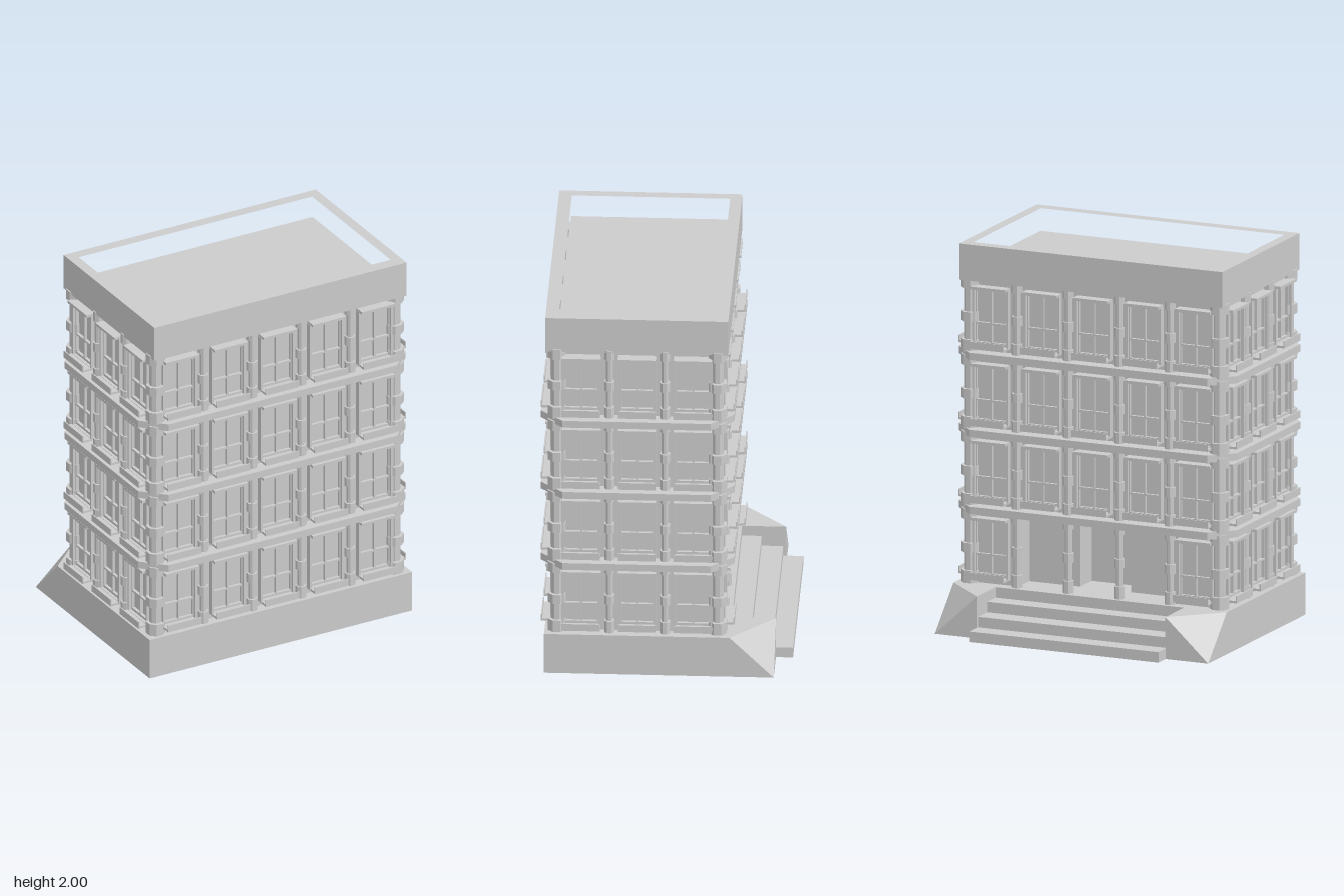
import * as THREE from 'three';
import { ConvexGeometry } from 'three/addons/geometries/ConvexGeometry.js';

const MAT = new THREE.MeshStandardMaterial({ color: 0xcccccc, flatShading: true });
const BASE_TOP = 0.22, STOREY = 0.404, BAY = 0.2875, MID_Z = 0.145;

function add(parent, geo, name, x = 0, y = 0, z = 0) {
  const mesh = new THREE.Mesh(geo, MAT);
  mesh.name = name;
  mesh.position.set(x, y, z);
  parent.add(mesh);
  return mesh;
}

// Box given by its extents
function block(parent, name, x0, x1, y0, y1, z0, z1) {
  return add(parent, new THREE.BoxGeometry(x1 - x0, y1 - y0, z1 - z0), name,
    (x0 + x1) / 2, (y0 + y1) / 2, (z0 + z1) / 2);
}

// Vertical prism from a floor plan of [x, z] points, with optional holes
function prism(parent, name, plan, y0, y1, holes = []) {
  const toV = (pts) => pts.map(([x, z]) => new THREE.Vector2(x, -z));
  const shape = new THREE.Shape(toV(plan));
  holes.forEach((h) => shape.holes.push(new THREE.Path(toV(h))));
  const geo = new THREE.ExtrudeGeometry(shape, { depth: y1 - y0, bevelEnabled: false });
  geo.rotateX(-Math.PI / 2);
  return add(parent, geo, name, 0, y0, 0);
}

const rect = (x0, x1, z0, z1) => [[x0, z0], [x1, z0], [x1, z1], [x0, z1]];

function octagon(hx, z0, z1, c) {
  return [[-hx + c, z0], [hx - c, z0], [hx, z0 + c], [hx, z1 - c],
    [hx - c, z1], [-hx + c, z1], [-hx, z1 - c], [-hx, z0 + c]];
}

// Window with four panes, border, hood and lipped sill; wall plane at z = 0
function makeWindow() {
  const g = new THREE.Group();
  g.name = 'window';
  const panel = (name, x0, x1, y0, y1, holes, depth) => {
    const path = (P, [a, b, c, d]) =>
      new P([[a, c], [b, c], [b, d], [a, d]].map((p) => new THREE.Vector2(...p)));
    const s = path(THREE.Shape, [x0, x1, y0, y1]);
    holes.forEach((h) => s.holes.push(path(THREE.Path, h)));
    add(g, new THREE.ExtrudeGeometry(s, { depth, bevelEnabled: false }), name);
  };
  panel('windowSash', -0.09, 0.09, 0.04, 0.33, [
    [-0.082, -0.004, 0.055, 0.148], [0.004, 0.082, 0.055, 0.148],
    [-0.082, -0.004, 0.158, 0.322], [0.004, 0.082, 0.158, 0.322]], 0.016);
  panel('windowBorder', -0.1, 0.1, 0.03, 0.338, [[-0.088, 0.088, 0.042, 0.328]], 0.032);
  block(g, 'windowHood', -0.098, 0.098, 0.336, 0.35, 0, 0.058);
  block(g, 'windowSill', -0.098, 0.098, 0.028, 0.04, 0, 0.08);
  block(g, 'sillLip', -0.098, 0.098, 0.028, 0.066, 0.074, 0.08);
  return g;
}

// Slim octagonal column with foot, middle ring and capital
function makeColumn(name, r, storeyHeight = 0.39) {
  const g = new THREE.Group();
  g.name = name;
  const part = (n, rad, y0, y1) => {
    const geo = new THREE.CylinderGeometry(rad, rad, y1 - y0, 8);
    geo.rotateY(Math.PI / 8);
    add(g, geo, n, 0, (y0 + y1) / 2, 0);
  };
  part('shaft', r * 0.65, 0, storeyHeight);
  part('foot', r, 0, 0.065);
  part('ring', r, 0.16, 0.21);
  part('capital', r, 0.335, storeyHeight);
  return g;
}

// One storey of one side: windows with pilasters between them
function facade(bays, open) {
  const g = new THREE.Group();
  const pane = makeWindow(), pilaster = makeColumn('pilaster', 0.028);
  for (let i = 0; i < bays; i++) {
    const x = (i - (bays - 1) / 2) * BAY;
    if (!(open && i > 0 && i < bays - 1)) {
      const w = pane.clone();
      w.position.x = x;
      g.add(w);
    }
    if (i < bays - 1) {
      const p = pilaster.clone();
      p.position.set(x + BAY / 2, 0, 0.015);
      g.add(p);
    }
  }
  return g;
}

export function createModel() {
  const model = new THREE.Group();
  model.name = 'building';

  // Plinth and entrance steps
  block(model, 'plinth', -0.77, 0.77, 0, BASE_TOP, -0.33, 0.62);
  [-0.43, -0.54, -0.642].forEach((z, i) =>
    block(model, 'entranceStep', -0.532, 0.532, 0, 0.165 - i * 0.055, z, -0.33));

  // Stair cheeks: blocks with the outer top corner cut away
  for (const s of [-1, 1]) {
    const pts = [[0.53, 0, -0.33], [0.77, 0, -0.33], [0.53, 0, -0.555], [0.77, 0, -0.555],
      [0.53, BASE_TOP, -0.33], [0.77, BASE_TOP, -0.33], [0.53, BASE_TOP, -0.555]]
      .map(([x, y, z]) => new THREE.Vector3(s * x, y, z));
    add(model, new ConvexGeometry(pts), 'stairCheek');
  }

  // Walls: the ground storey has a stepped porch recess at the back
  const porch = [[-0.705, -0.27], [-0.43, -0.27], [-0.43, -0.14], [-0.145, -0.14],
    [-0.145, 0], [0.145, 0], [0.145, -0.14], [0.43, -0.14], [0.43, -0.27],
    [0.705, -0.27], [0.705, 0.56], [-0.705, 0.56]];
  prism(model, 'groundWalls', porch, BASE_TOP, 0.6);
  block(model, 'upperWalls', -0.705, 0.705, 0.6, 1.82, -0.27, 0.56);

  // Storeys
  const sides = [
    ['frontFacade', 5, 0, 0.56, 0], ['backFacade', 5, 0, -0.27, Math.PI],
    ['leftFacade', 3, 0.705, MID_Z, Math.PI / 2], ['rightFacade', 3, -0.705, MID_Z, -Math.PI / 2]];
  for (let floor = 0; floor < 4; floor++) {
    const y = BASE_TOP + floor * STOREY;
    for (const [name, bays, x, z, turn] of sides) {
      const f = facade(bays, floor === 0 && name === 'backFacade');
      f.name = name;
      f.position.set(x, y, z);
      f.rotation.y = turn;
      model.add(f);
    }
    for (const x of [-0.7, 0.7]) for (const z of [-0.267, 0.557]) {
      const c = makeColumn('cornerPillar', 0.05);
      c.position.set(x, y, z);
      model.add(c);
    }
    // Ledge with cut corners between storeys
    if (floor > 0) prism(model, 'ledge', octagon(0.785, -0.35, 0.64, 0.115), y - 0.03, y + 0.008);
  }

  // Parapet and sunken roof
  prism(model, 'parapet', rect(-0.74, 0.74, -0.322, 0.615), 1.81, 2,
    [rect(-0.685, 0.685, -0.262, 0.548)]);
  block(model, 'roof', -0.69, 0.69, 1.812, 1.88, -0.267, 0.553);
  return model;
}
